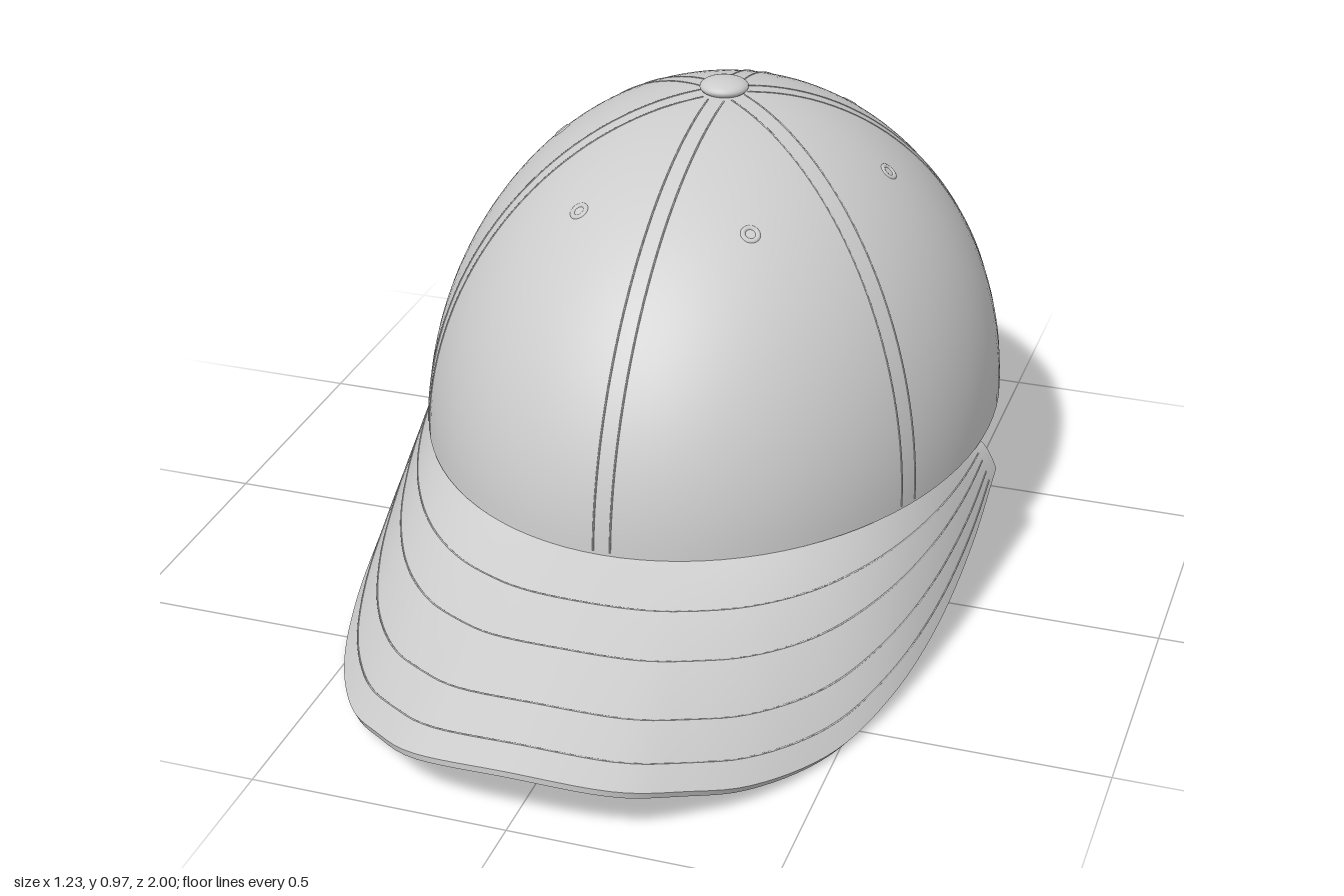
import * as THREE from 'three';
import { mergeVertices } from 'three/addons/utils/BufferGeometryUtils.js';

const PI = Math.PI, BASE = 0.28, HEIGHT = 0.66, THICK = 0.012;
const OPEN = 0.395;          // half angle of the rear opening
const BRIM = 1.489;          // half angle of the brim along the crown
const V = (x, y, z) => new THREE.Vector3(x, y, z);

// Point on the crown: t runs around (0 = front), p rises from rim to apex.
function crownPoint(t, p, inset = 0) {
  const c = Math.cos(p), s = Math.sin(p), k = Math.cos(t);
  let half = (0.733 - inset) * c;
  if (k < 0) half -= 0.1 * s * c;
  return V((0.585 - inset) * c * Math.sin(t), BASE + (HEIGHT - inset) * s, -0.25 - 0.03 * s + half * k);
}

// Height angle of the crown's lower edge, raised to an arch at the back.
function lowerEdge(t) {
  const a = (PI - Math.abs(t)) / OPEN;
  return a >= 1 ? 0 : Math.asin(0.225 * Math.sqrt(1 - a * a) / HEIGHT);
}

// Surface from a function of grid position (0..1, 0..1).
function surface(fn, nu, nv) {
  const pos = [], idx = [];
  for (let i = 0; i <= nu; i++)
    for (let j = 0; j <= nv; j++) pos.push(...fn(i / nu, j / nv).toArray());
  for (let i = 0; i < nu; i++)
    for (let j = 0; j < nv; j++) {
      const a = i * (nv + 1) + j, b = a + nv + 1;
      idx.push(a, b, b + 1, a, b + 1, a + 1);
    }
  let g = new THREE.BufferGeometry();
  g.setAttribute('position', new THREE.Float32BufferAttribute(pos, 3));
  g.setIndex(idx);
  g = mergeVertices(g, 1e-5);
  g.computeVertexNormals();
  return g;
}

export function createModel() {
  const cap = new THREE.Group();
  cap.name = 'cap';
  const fabric = new THREE.MeshStandardMaterial({ color: 0xcccccc, side: THREE.DoubleSide });
  fabric.name = 'light grey fabric';
  const add = (name, geometry, parent = cap) => {
    const m = new THREE.Mesh(geometry, fabric);
    m.name = name;
    parent.add(m);
    return m;
  };
  const group = name => {
    const g = new THREE.Group();
    g.name = name;
    cap.add(g);
    return g;
  };

  // Crown angles, closer together at the sides of the rear arch
  const angles = [], ARC = 12, SIDE = 84;
  for (let i = 0; i < ARC; i++) angles.push(-PI + OPEN * Math.sin(i / ARC * PI / 2));
  for (let i = 0; i <= SIDE; i++) angles.push((PI - OPEN) * (2 * i / SIDE - 1));
  for (let i = ARC - 1; i >= 0; i--) angles.push(PI - OPEN * Math.sin(i / ARC * PI / 2));
  const n = angles.length - 1, angle = u => angles[Math.round(u * n)];

  // Crown shell: outside, lining and rim
  const crown = group('crown');
  const shell = inset => (u, v) => {
    const t = angle(u), p = lowerEdge(t);
    return crownPoint(t, p + (PI / 2 - p) * v, inset);
  };
  add('crownOutside', surface(shell(0), n, 36), crown);
  add('crownLining', surface((u, v) => shell(THICK)(u, 1 - v), n, 36), crown);
  add('crownRim', surface((u, v) => {
    const t = angle(u);
    return crownPoint(t, lowerEdge(t), THICK * (1 - v));
  }, n, 1), crown);

  // Sweatband inside the rim
  const bandAngle = u => (PI - OPEN - 0.03) * (2 * u - 1);
  add('sweatband', surface((u, v) => crownPoint(bandAngle(u), 0.15 * (1 - v), THICK + 0.006), 80, 5));
  add('sweatbandTop', surface((u, v) => crownPoint(bandAngle(u), 0.15, THICK + 0.006 * v), 80, 1));

  // Brim: straight rulings from the crown to a curved outer edge
  const half = [[0.2, 0.102, 0.962], [0.3, 0.074, 0.885], [0.39, 0.042, 0.79], [0.495, 0.013, 0.6],
    [0.557, 0.026, 0.4], [0.592, 0.062, 0.19], [0.61, 0.13, -0.02], [0.616, 0.217, -0.195]];
  const edge = new THREE.CatmullRomCurve3([
    ...half.map(([x, y, z]) => V(-x, y, z)).reverse(), V(0, 0.128, 1), ...half.map(p => V(...p))]);
  edge.arcLengthDivisions = 600;
  const brimPoint = (u, s, down = 0) => {
    const w = 2 * u - 1;
    const p = crownPoint(BRIM * w, 0, 0.004).lerp(edge.getPointAt(u), s);
    p.y += 0.04 * s * (1 - s) * w * w - down;
    p.x -= down * p.x / 0.615;
    return p;
  };
  const brim = group('brim');
  add('brimTop', surface((u, s) => brimPoint(u, 1 - s), 96, 16), brim);
  add('brimUnderside', surface((u, s) => brimPoint(u, s, THICK), 96, 16), brim);
  add('brimEdge', surface((u, v) => brimPoint(u, 1, THICK * v), 96, 1), brim);
  for (const u of [0, 1])
    add('brimEnd', surface((s, v) => brimPoint(u, s, THICK * v), 8, 1), brim);

  // Stitch rows on the brim and beside the crown seams
  const stitches = group('stitching');
  const thread = (name, fn, count) => {
    const pts = Array.from({ length: count + 1 }, (_, i) => fn(i / count));
    add(name, new THREE.TubeGeometry(new THREE.CatmullRomCurve3(pts), count * 2, 0.0018, 4), stitches);
  };
  for (const s of [0.23, 0.45, 0.7, 0.88])
    thread('brimStitch', u => brimPoint(0.015 + 0.97 * u, s), 48);
  for (let k = 0; k < 6; k++)
    for (const side of [-1, 1])
      thread('seamStitch', v => {
        const low = k === 3 ? 0.37 : 0.01, p = low + (1.49 - low) * v;
        return crownPoint(k * PI / 3 + side * 0.018 / (0.62 * Math.cos(p)), p);
      }, 20);

  // Eyelets, one in each panel
  const eyelets = group('eyelets');
  for (let k = 0; k < 6; k++) {
    const t = PI / 6 + k * PI / 3, p = Math.asin(0.803), d = 0.01;
    const along = crownPoint(t + d, p).sub(crownPoint(t - d, p));
    const up = crownPoint(t, p + d).sub(crownPoint(t, p - d));
    const normal = along.cross(up).normalize();
    const ring = add('eyelet', new THREE.TorusGeometry(0.015, 0.006, 8, 24), eyelets);
    ring.position.copy(crownPoint(t, p, 0.003));
    ring.quaternion.setFromUnitVectors(V(0, 0, 1), normal);
  }

  // Top button
  const button = add('topButton', new THREE.SphereGeometry(0.05, 32, 16));
  button.scale.y = 0.36;
  button.position.set(0, 0.948, -0.28);

  // Rear strap: a flat band swept across the opening
  const corners = [[0, 0.3], [0, 0.326], [0.009, 0.326], [0.009, 0.3], [0, 0.3]];
  const strap = surface((u, v) => {
    const [inset, y] = corners[Math.round(v * 4)];
    const p = crownPoint(PI + 0.45 * (2 * u - 1), 0, inset + 0.001);
    p.y = y;
    return p;
  }, 32, 4).toNonIndexed();
  strap.computeVertexNormals();
  add('rearStrap', strap);

  // Strap buckle
  const buckle = add('buckle', new THREE.BoxGeometry(0.07, 0.044, 0.022));
  buckle.position.set(-0.085, 0.314, -0.984);
  buckle.rotation.y = 0.17;

  return cap;
}
